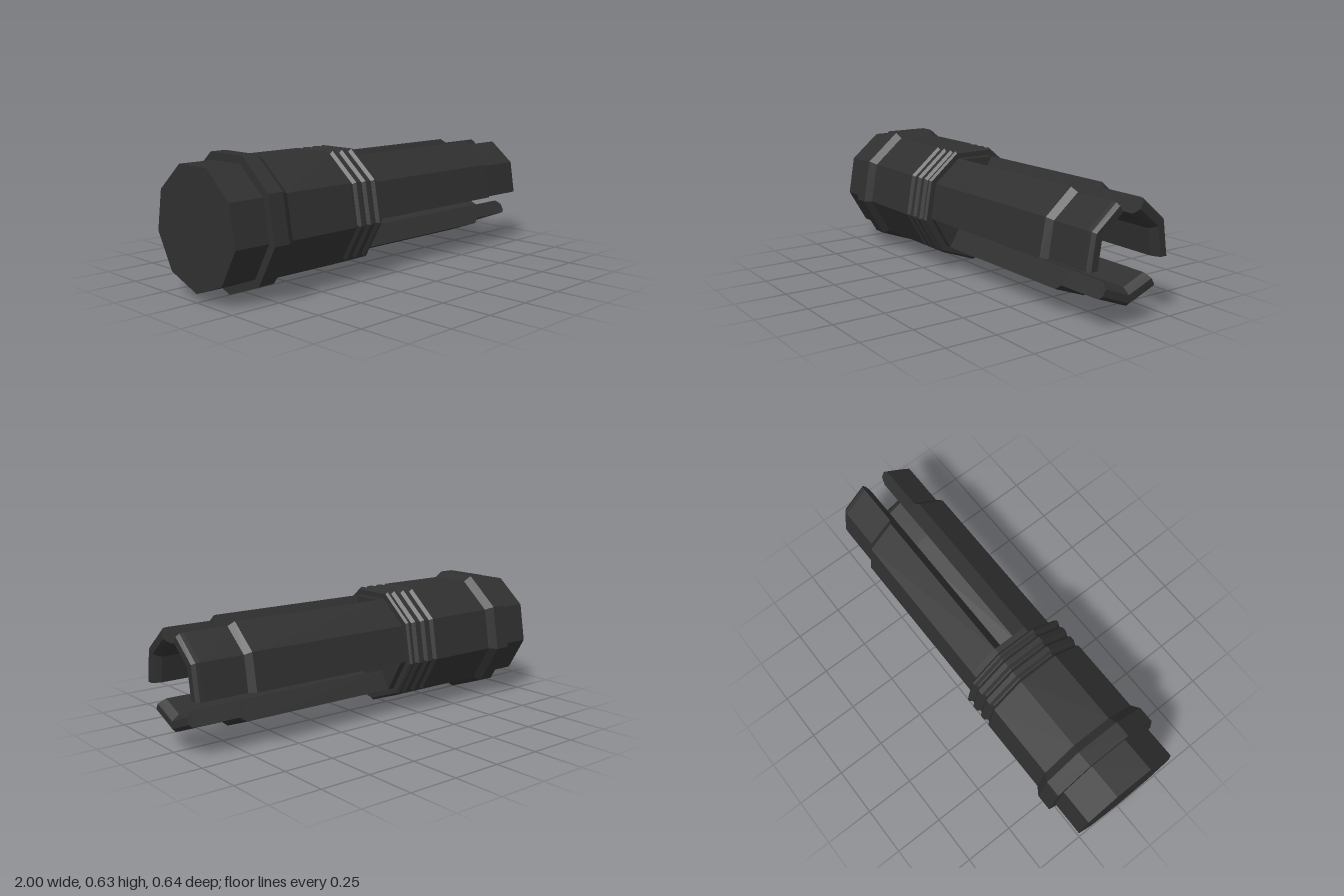
import * as THREE from 'three';

const SIDES = 9;
const rad = THREE.MathUtils.degToRad;

// Nine-sided turned part along x from [x, radius] pairs, one corner pointing down
function turned(profile) {
  const pts = profile.map(([x, r]) => new THREE.Vector2(r, x));
  const g = new THREE.LatheGeometry(pts, SIDES, Math.PI / 2).toNonIndexed();
  g.rotateZ(-Math.PI / 2);
  g.computeVertexNormals();
  return g;
}

// One prong: sections of three outer and three inner points, lofted along x
function prongGeometry() {
  // x, outer radius, inner radius
  const stations = [
    [-0.13, 0.26, 0.157], [0.72, 0.26, 0.157], [0.75, 0.236, 0.157],
    [0.965, 0.236, 0.157], [0.985, 0.234, 0.17], [1, 0.219, 0.183],
  ];
  const edge = (r) => 40 + (0.26 - r) * 60;
  const rings = stations.map(([x, ro, ri]) => [
    [-edge(ro), ro], [0, ro], [edge(ro), ro],
    [edge(ri), ri + 0.003], [0, ri], [-edge(ri), ri + 0.003],
  ].map(([deg, r]) => [x, -r * Math.cos(rad(deg)), r * Math.sin(rad(deg))]));

  const pos = [];
  const quad = (a, b, c, d) => pos.push(...a, ...b, ...c, ...a, ...c, ...d);
  for (let i = 0; i < rings.length - 1; i++) {
    for (let j = 0; j < 6; j++) {
      const k = (j + 1) % 6;
      quad(rings[i][j], rings[i + 1][j], rings[i + 1][k], rings[i][k]);
    }
  }
  // Tip faces
  const e = rings[rings.length - 1];
  quad(e[0], e[5], e[4], e[1]);
  quad(e[1], e[4], e[3], e[2]);

  const g = new THREE.BufferGeometry();
  g.setAttribute('position', new THREE.Float32BufferAttribute(pos, 3));
  g.computeVertexNormals();
  return g;
}

export function createModel() {
  const group = new THREE.Group();
  const darkMetal = new THREE.MeshStandardMaterial({ color: 0x303030 });
  darkMetal.name = 'darkMetal';

  const axis = new THREE.Group();
  axis.name = 'muzzleDevice';
  axis.position.y = 0.326;
  group.add(axis);

  const add = (name, geometry) => {
    const m = new THREE.Mesh(geometry, darkMetal);
    m.name = name;
    axis.add(m);
    return m;
  };

  // Rear end, collar and body, then three grooves and the bored front hub
  const R = 0.299, G = 0.284;
  const profile = [
    [-1, 0], [-1, 0.287], [-0.825, 0.287], [-0.825, 0.326],
    [-0.745, 0.326], [-0.705, R],
  ];
  for (let i = 0; i < 3; i++) {
    const x = -0.325 + i * 0.06;
    profile.push([x, R], [x + 0.015, G], [x + 0.022, G], [x + 0.035, R]);
  }
  profile.push(
    [-0.16, R], [-0.15, 0.288], [-0.15, 0.26], [-0.115, 0.26],
    [-0.115, 0.115], [-0.2, 0.115], [-0.2, 0.08], [-0.3, 0.08], [-0.3, 0],
  );
  add('body', turned(profile));

  // Three prongs separated by open slots
  const prong = prongGeometry();
  for (let i = 0; i < 3; i++) {
    add('prong' + (i + 1), prong).rotation.x = (i * Math.PI * 2) / 3;
  }
  return group;
}
